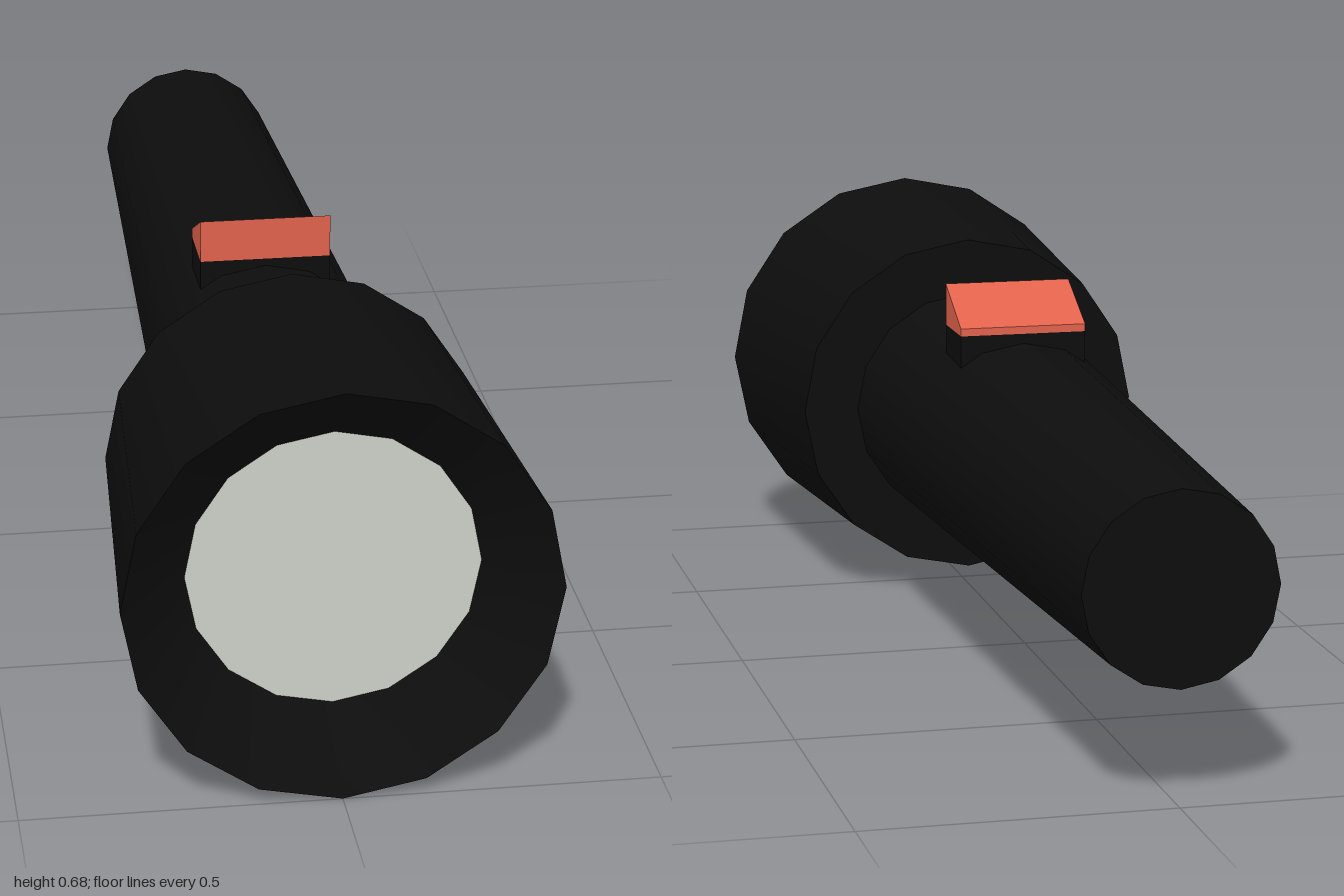
import * as THREE from 'three';
import { toCreasedNormals } from 'three/addons/utils/BufferGeometryUtils.js';

const SIDES = 16;
const AXIS_Y = 0.34;

export function createModel() {
  const group = new THREE.Group();
  const mat = (name, color) => {
    const m = new THREE.MeshStandardMaterial({ color });
    m.name = name;
    return m;
  };
  const black = mat('black casing', 0x0d0d0d);
  const orange = mat('orange switch', 0xe0624c);
  const glass = mat('pale lens', 0xcdd1c8);

  const add = (name, geometry, material, x, y, z) => {
    const mesh = new THREE.Mesh(geometry, material);
    mesh.name = name;
    mesh.position.set(x, y, z);
    group.add(mesh);
    return mesh;
  };

  // Turned part along z from [radius, z] pairs
  const turned = (name, profile) => {
    const points = profile.map(([r, z]) => new THREE.Vector2(r, z));
    const geometry = new THREE.LatheGeometry(points, SIDES).rotateX(Math.PI / 2);
    add(name, toCreasedNormals(geometry, 0.6), black, 0, AXIS_Y, 0);
  };

  // Tapered handle with closed tail
  turned('handle', [[0, -1], [0.155, -1], [0.207, 0.44]]);

  // Flared head: rear shoulder, outer wall, sloping reflector recess
  turned('head', [[0.19, 0.44], [0.305, 0.44], [0.34, 1], [0.23, 0.89]]);

  // Lens at the bottom of the recess, one corner pointing up
  const lens = new THREE.CircleGeometry(0.23, SIDES, Math.PI / 2);
  add('lens', lens, glass, 0, AXIS_Y, 0.89);

  // Switch base and wedge-shaped button
  add('switchBase', new THREE.BoxGeometry(0.22, 0.15, 0.12), black, 0, 0.473, 0.07);
  const wedge = new THREE.Shape([
    new THREE.Vector2(-0.13, 0.548), new THREE.Vector2(-0.01, 0.548),
    new THREE.Vector2(-0.01, 0.561), new THREE.Vector2(-0.13, 0.62),
  ]);
  const button = new THREE.ExtrudeGeometry(wedge, { depth: 0.22, bevelEnabled: false });
  button.translate(0, 0, -0.11).rotateY(Math.PI / 2);
  add('switchButton', button, orange, 0, 0, 0);

  return group;
}
